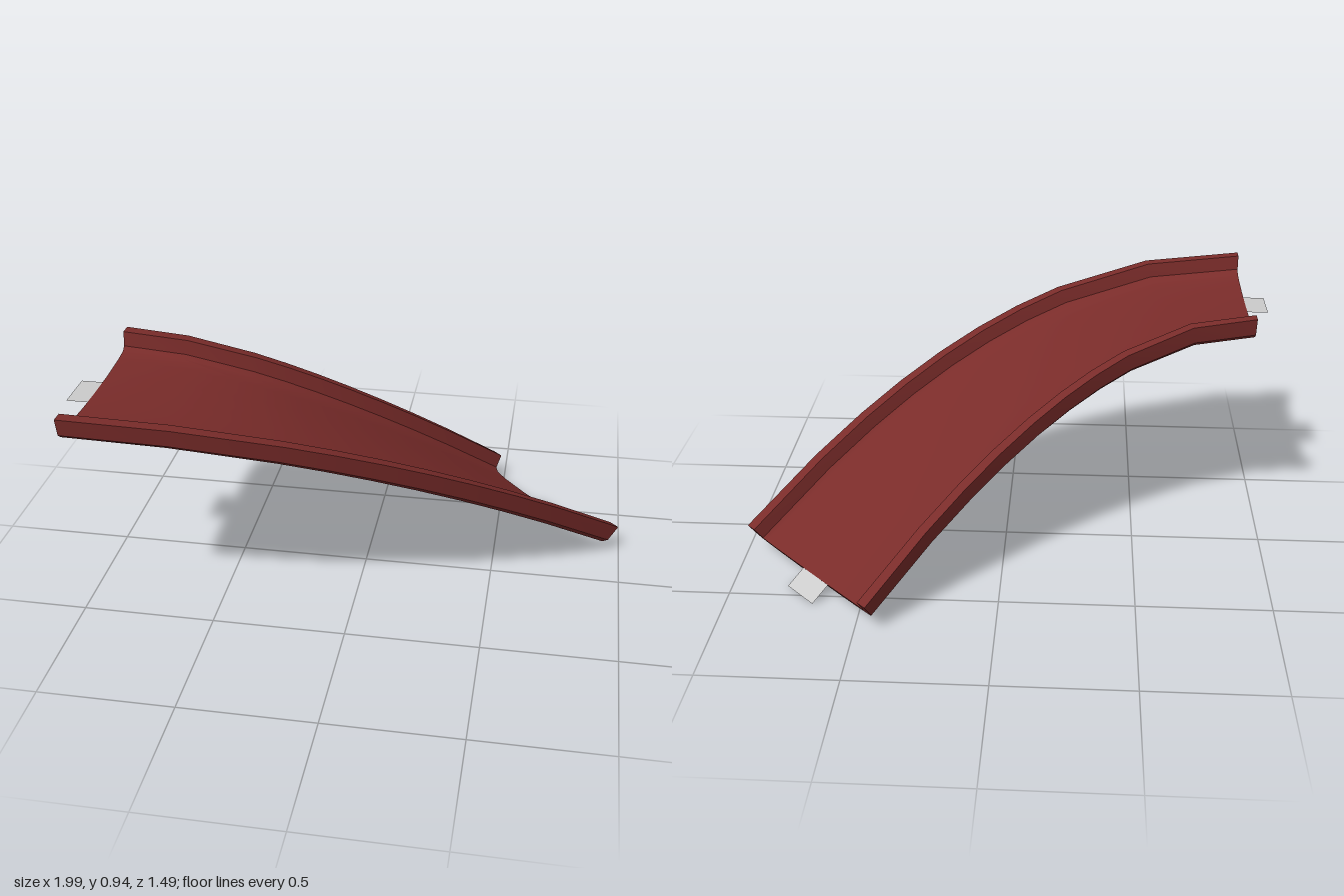
import * as THREE from 'three';
import { toCreasedNormals } from 'three/addons/utils/BufferGeometryUtils.js';

// Centre line at lip height: level at the top, turning 45 degrees as it drops
const path = new THREE.QuadraticBezierCurve3(
  new THREE.Vector3(-0.92, 0.94, 0.36),
  new THREE.Vector3(-0.12, 0.94, 0.36),
  new THREE.Vector3(0.72, 0.12, -0.48)
);
const stations = [0, 0.19, 0.375, 0.46, 0.54, 0.62, 0.7, 0.78, 0.87, 1];

// Returns a function placing (across, up, along) in the frame of the path at t
function frameAt(t) {
  const origin = path.getPoint(t);
  const along = path.getTangent(t);
  const across = new THREE.Vector3(-along.z, 0, along.x).normalize();
  const up = along.clone().cross(across).multiplyScalar(-1).normalize();
  return (u, v, w = 0) => origin.clone()
    .addScaledVector(across, u).addScaledVector(up, v).addScaledVector(along, w);
}

// Half sections of the trough, mirrored into one closed loop
const outerHalf = [[0, -0.12], [0.13, -0.116], [0.25, -0.104], [0.345, -0.083], [0.366, -0.066], [0.38, 0]];
const innerHalf = [[0.335, 0], [0.328, -0.055], [0.31, -0.069], [0.25, -0.077], [0.13, -0.084], [0, -0.086]];
const flip = ([u, v]) => [-u, v];
const section = [
  ...outerHalf.slice(1).reverse().map(flip), ...outerHalf,
  ...innerHalf, ...innerHalf.slice(0, -1).reverse().map(flip)
];

function troughGeometry() {
  const n = section.length;
  const positions = [];
  const index = [];
  for (const t of stations) {
    const place = frameAt(t);
    for (const [u, v] of section) positions.push(...place(u, v).toArray());
  }
  for (let i = 0; i < stations.length - 1; i++) {
    for (let j = 0; j < n; j++) {
      const a = i * n + j, b = i * n + (j + 1) % n;
      index.push(a, a + n, b, b, a + n, b + n);
    }
  }
  // End caps
  const last = (stations.length - 1) * n;
  const loop = section.map(([u, v]) => new THREE.Vector2(u, v));
  for (const [a, b, c] of THREE.ShapeUtils.triangulateShape(loop, [])) {
    index.push(a, b, c, last + a, last + c, last + b);
  }
  const g = new THREE.BufferGeometry();
  g.setAttribute('position', new THREE.Float32BufferAttribute(positions, 3));
  g.setIndex(index);
  return toCreasedNormals(g, 0.6);
}

// Flat tongue running out from one end of the floor
function tabGeometry(t, from, to) {
  const place = frameAt(t);
  const corners = [[-0.08, from], [0.08, from], [0.08, to], [-0.08, to]];
  const g = new THREE.BufferGeometry().setFromPoints(corners.map(([u, w]) => place(u, -0.087, w)));
  g.setIndex(from < to ? [0, 1, 2, 0, 2, 3] : [0, 2, 1, 0, 3, 2]);
  g.computeVertexNormals();
  return g;
}

export function createModel() {
  const group = new THREE.Group();
  const red = new THREE.MeshStandardMaterial({ color: 0x7a2c2a });
  const grey = new THREE.MeshStandardMaterial({ color: 0xcccccc, side: THREE.DoubleSide });
  const add = (name, geometry, material) => {
    const mesh = new THREE.Mesh(geometry, material);
    mesh.name = name;
    group.add(mesh);
  };

  add('slideTrough', troughGeometry(), red);
  add('upperTab', tabGeometry(0, 0, -0.08), grey);
  add('lowerTab', tabGeometry(1, 0, 0.088), grey);
  return group;
}
